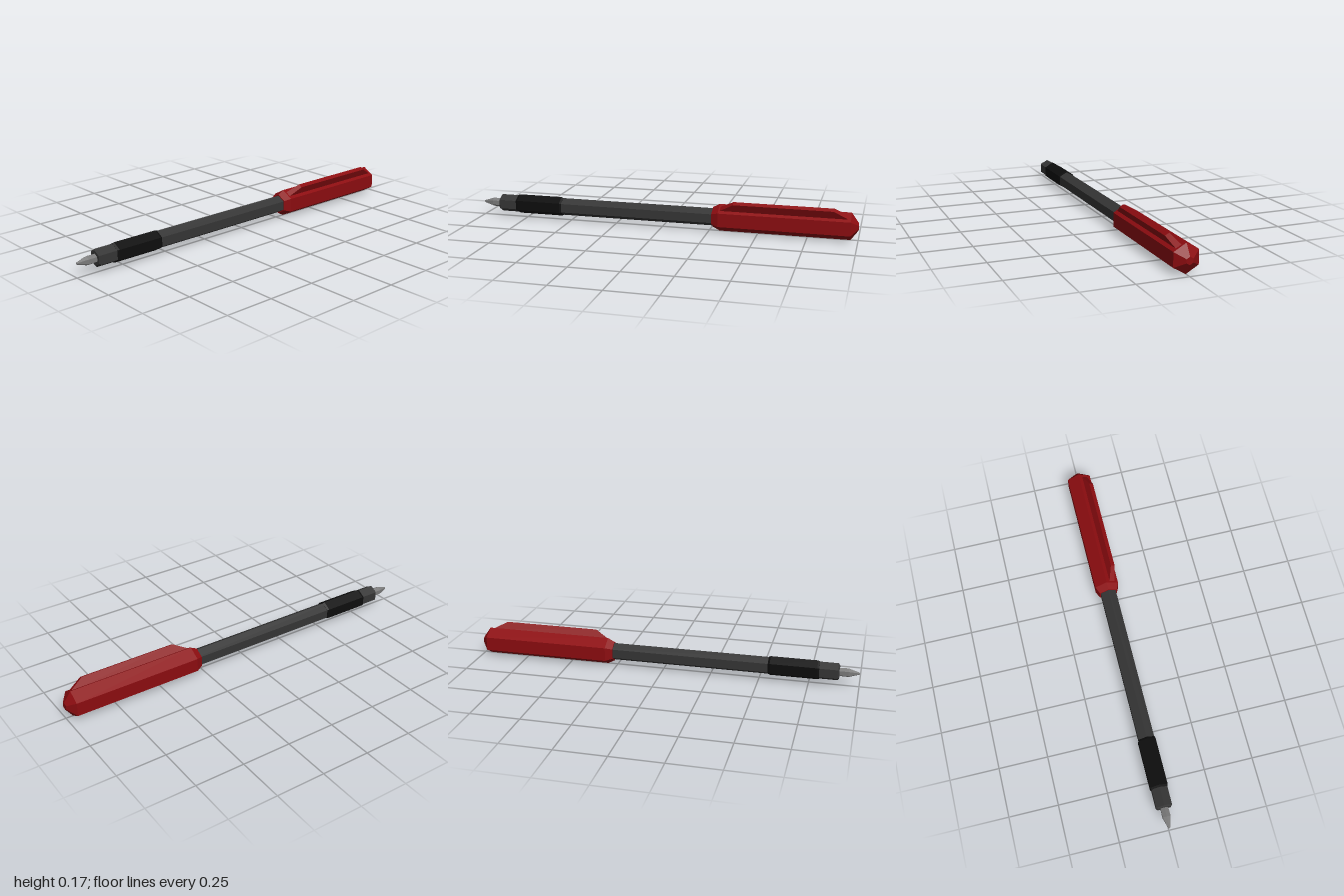
import * as THREE from 'three';

const AXIS_Y = 0.0705; // height of the pen's centre line

function material(name, color) {
  const m = new THREE.MeshStandardMaterial({ color, flatShading: true });
  m.name = name;
  return m;
}

// Six-sided solid along z from [radius, z] pairs, listed back to front
function hexSolid(name, profile, mat) {
  const points = profile.map(([r, z]) => new THREE.Vector2(r, z));
  points.unshift(new THREE.Vector2(0, points[0].y));
  points.push(new THREE.Vector2(0, points[points.length - 1].y));
  const geometry = new THREE.LatheGeometry(points, 6);
  geometry.rotateX(Math.PI / 2);
  const mesh = new THREE.Mesh(geometry, mat);
  mesh.name = name;
  return mesh;
}

// Pocket clip: a box narrowed and shortened towards its outer side
function clip(mat) {
  const geometry = new THREE.BoxGeometry(1, 1, 1);
  const p = geometry.attributes.position;
  for (let i = 0; i < p.count; i++) {
    const outer = p.getY(i) > 0;
    const front = p.getZ(i) > 0;
    const halfWidth = outer ? 0.0115 : 0.0155;
    const z = outer ? (front ? -0.38 : -0.88) : (front ? -0.305 : -0.955);
    p.setXYZ(i, Math.sign(p.getX(i)) * halfWidth, outer ? 0.104 : 0.058, z);
  }
  geometry.rotateZ(-Math.PI / 6);
  geometry.computeVertexNormals();
  const mesh = new THREE.Mesh(geometry, mat);
  mesh.name = 'pocketClip';
  return mesh;
}

export function createModel() {
  const red = material('red plastic', 0x8c0c10);
  const grey = material('dark grey plastic', 0x353535);
  const black = material('black rubber', 0x0d0d0d);
  const metal = material('grey metal', 0x7a7a7a);

  const pen = new THREE.Group();
  pen.name = 'pen';

  // Barrel with a small chamfer at the nose
  pen.add(hexSolid('barrel', [[0.046, -0.5], [0.046, 0.893], [0.038, 0.9]], grey));
  // Rubber grip
  pen.add(hexSolid('grip', [[0.047, 0.545], [0.051, 0.555], [0.051, 0.792], [0.047, 0.802]], black));
  // Writing point
  pen.add(hexSolid('tip', [[0.022, 0.88], [0.023, 0.945], [0.007, 0.994], [0.004, 1]], metal));
  // Cap with tapered mouth and domed end
  pen.add(hexSolid('cap', [[0.019, -1], [0.0705, -0.963], [0.0705, -0.302], [0.052, -0.267]], red));
  pen.add(clip(red));

  pen.position.y = AXIS_Y;
  const model = new THREE.Group();
  model.name = 'cappedPen';
  model.add(pen);
  return model;
}
